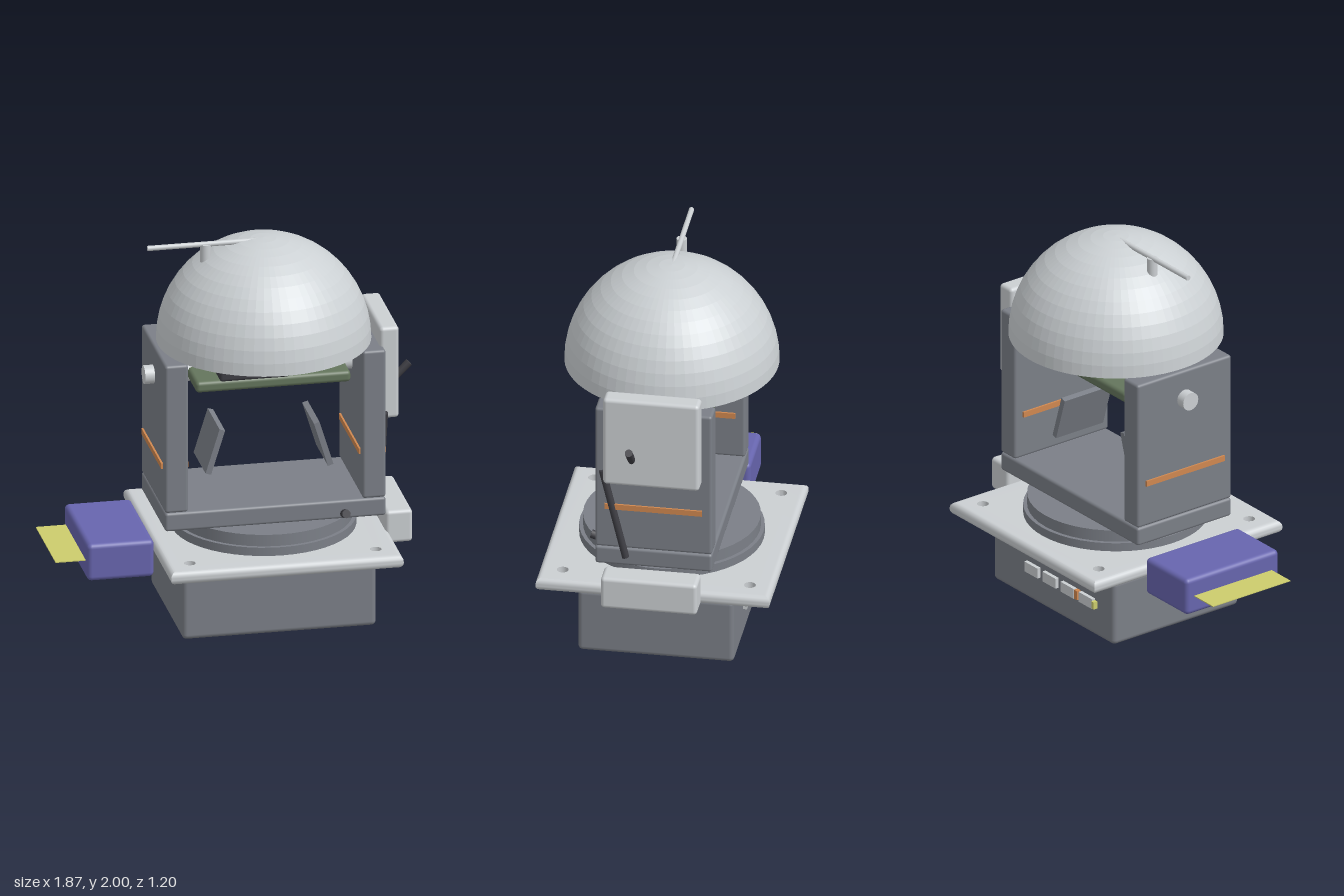
import * as THREE from 'three';
import { toCreasedNormals } from 'three/addons/utils/BufferGeometryUtils.js';
import { RoundedBoxGeometry } from 'three/addons/geometries/RoundedBoxGeometry.js';

const colour = (name, color, extra = {}) => {
  const m = new THREE.MeshStandardMaterial({ color, ...extra });
  m.name = name;
  return m;
};

export function createModel() {
  const light = colour('lightGrey', 0xcbcfd2);
  const dome = colour('domeGrey', 0xcbd0d3, { flatShading: true });
  const grey = colour('steelGrey', 0x7b7f87);
  const dark = colour('darkGrey', 0x3e3e44);
  const green = colour('boardGreen', 0x64755c);
  const glass = colour('lensGrey', 0x7d8888);
  const purple = colour('batteryPurple', 0x6765ae);
  const yellow = colour('panelYellow', 0xcccc6c, { side: THREE.DoubleSide });
  const copper = colour('copper', 0xd08850);

  const model = new THREE.Group();
  model.name = 'sensorTurret';
  const cx = 0.19; // axis of the turret

  const add = (name, geo, mat, x = 0, y = 0, z = 0) => {
    const mesh = new THREE.Mesh(geo, mat);
    mesh.name = name;
    mesh.position.set(x, y, z);
    model.add(mesh);
    return mesh;
  };
  // Box given by its extents; r rounds the edges
  const box = (name, mat, [x0, x1], [y0, y1], [z0, z1], r = 0) => {
    const s = [x1 - x0, y1 - y0, z1 - z0];
    const geo = r ? new RoundedBoxGeometry(...s, 3, r) : new THREE.BoxGeometry(...s);
    return add(name, geo, mat, (x0 + x1) / 2, (y0 + y1) / 2, (z0 + z1) / 2);
  };
  // Cylinder between two points
  const rod = (name, mat, a, b, r, sides = 32) => {
    const p = new THREE.Vector3(...a), q = new THREE.Vector3(...b);
    const d = q.clone().sub(p);
    const mesh = add(name, new THREE.CylinderGeometry(r, r, d.length(), sides), mat);
    mesh.position.copy(p).add(q).multiplyScalar(0.5);
    mesh.quaternion.setFromUnitVectors(new THREE.Vector3(0, 1, 0), d.normalize());
    return mesh;
  };

  // Electronics base with a row of rear ports
  box('baseBox', grey, [-0.31, 0.69], [0, 0.35], [-0.4, 0.4], 0.025);
  for (const x of [0.35, 0.2, 0.05, -0.1]) {
    box('rearPort', light, [x - 0.055, x + 0.055], [0.155, 0.21], [-0.42, -0.39]);
  }
  box('portLightCopper', copper, [-0.035, -0.01], [0.16, 0.21], [-0.423, -0.39]);
  box('portLightYellow', yellow, [-0.175, -0.155], [0.16, 0.2], [-0.423, -0.39]);

  // Mounting plate with rounded edges and four straight bolt holes
  const plate = new THREE.Shape();
  plate.moveTo(-0.57, -0.57).lineTo(0.57, -0.57).lineTo(0.57, 0.57).lineTo(-0.57, 0.57).closePath();
  const holes = [];
  for (const sx of [-1, 1]) for (const sz of [-1, 1]) {
    holes.push([sx * 0.48, sz * 0.48]);
    plate.holes.push(new THREE.Path().absarc(sx * 0.48, sz * 0.48, 0.06, 0, Math.PI * 2, true));
  }
  let plateGeo = new THREE.ExtrudeGeometry(plate, {
    depth: 0.01, bevelSize: 0.03, bevelThickness: 0.03, bevelSegments: 4, curveSegments: 12,
  });
  const pos = plateGeo.attributes.position;
  for (let i = 0; i < pos.count; i++) {
    for (const [hx, hy] of holes) {
      const dx = pos.getX(i) - hx, dy = pos.getY(i) - hy, d = Math.hypot(dx, dy);
      if (d < 0.07) pos.setXY(i, hx + (dx / d) * 0.03, hy + (dy / d) * 0.03);
    }
  }
  plateGeo = toCreasedNormals(plateGeo, 0.6);
  plateGeo.rotateX(-Math.PI / 2);
  add('mountingPlate', plateGeo, light, cx, 0.41, 0);

  // Turntable
  rod('turntableRing', grey, [cx, 0.44, 0], [cx, 0.495, 0], 0.47, 48);
  rod('turntableDisc', grey, [cx, 0.49, 0], [cx, 0.557, 0], 0.45, 48);

  // Yoke with two arms, copper strips and tilted inner fins
  box('yokeBase', grey, [-0.38, 0.76], [0.555, 0.655], [-0.3, 0.3], 0.015);
  for (const s of [-1, 1]) {
    const ax = cx + s * 0.51;
    box('yokeArm', grey, [ax - 0.06, ax + 0.06], [0.655, 1.455], [-0.3, 0.3], 0.015);
    box('copperStrip', copper, [ax - 0.07, ax + 0.07], [0.88, 0.91], [-0.25, 0.25]);
    const fin = add('innerFin', new THREE.BoxGeometry(0.03, 0.245, 0.3), grey, cx + s * 0.28, 0.91, 0);
    fin.rotation.z = s * 0.3;
  }

  // Tilt axle and sensor board
  rod('tiltAxle', light, [-0.43, 1.3, 0], [0.76, 1.3, 0], 0.048);
  box('sensorBoard', green, [-0.21, 0.59], [1.275, 1.335], [-0.25, 0.25], 0.02);

  // Main camera
  box('mainCamera', dark, [-0.09, 0.27], [1.335, 1.62], [-0.15, 0.27], 0.015);
  rod('mainLensBarrel', dark, [0.09, 1.485, 0.2], [0.09, 1.485, 0.33], 0.12);
  rod('mainLensGlass', glass, [0.09, 1.485, 0.32], [0.09, 1.485, 0.336], 0.1);

  // Second camera
  box('secondCamera', green, [0.27, 0.51], [1.335, 1.58], [-0.12, 0.15], 0.01);
  rod('secondLens', glass, [0.39, 1.44, 0.1], [0.39, 1.44, 0.2], 0.08);

  // Dome with closed underside
  add('dome', new THREE.SphereGeometry(0.545, 64, 13, 0, Math.PI * 2, 0, Math.PI / 2), dome, cx, 1.455, 0);
  const under = add('domeUnderside', new THREE.CircleGeometry(0.545, 64), dome, cx, 1.455, 0);
  under.rotation.x = Math.PI / 2;

  // Mast with a crossbar through the dome
  rod('mastFoot', light, [-0.11, 1.335, 0], [-0.11, 1.38, 0], 0.08);
  rod('mast', light, [-0.11, 1.38, 0], [-0.11, 1.985, 0], 0.027, 20);
  rod('crossbar', light, [-0.41, 1.985, 0], [0.19, 1.985, 0], 0.0135, 16);

  // Side control housing, lever, cable and lower box
  box('sideHousing', light, [0.74, 0.84], [1.06, 1.555], [-0.247, 0.247], 0.02);
  rod('lever', dark, [0.81, 1.19, 0.1], [0.92, 1.3, 0.1], 0.02, 12);
  rod('cable', dark, [0.76, 1.1, 0.262], [0.76, 0.605, 0.142], 0.019, 12);
  box('sideBox', light, [0.77, 0.91], [0.38, 0.555], [-0.247, 0.247], 0.02);
  rod('frontKnob', dark, [0.545, 0.575, 0.27], [0.545, 0.602, 0.355], 0.022, 12);

  // Battery pack and thin outrigger panel
  box('batteryPack', purple, [-0.78, -0.435], [0.315, 0.515], [-0.297, 0.297], 0.025);
  box('outriggerPanel', yellow, [-0.935, -0.77], [0.412, 0.417], [-0.247, 0.247]);

  return model;
}
